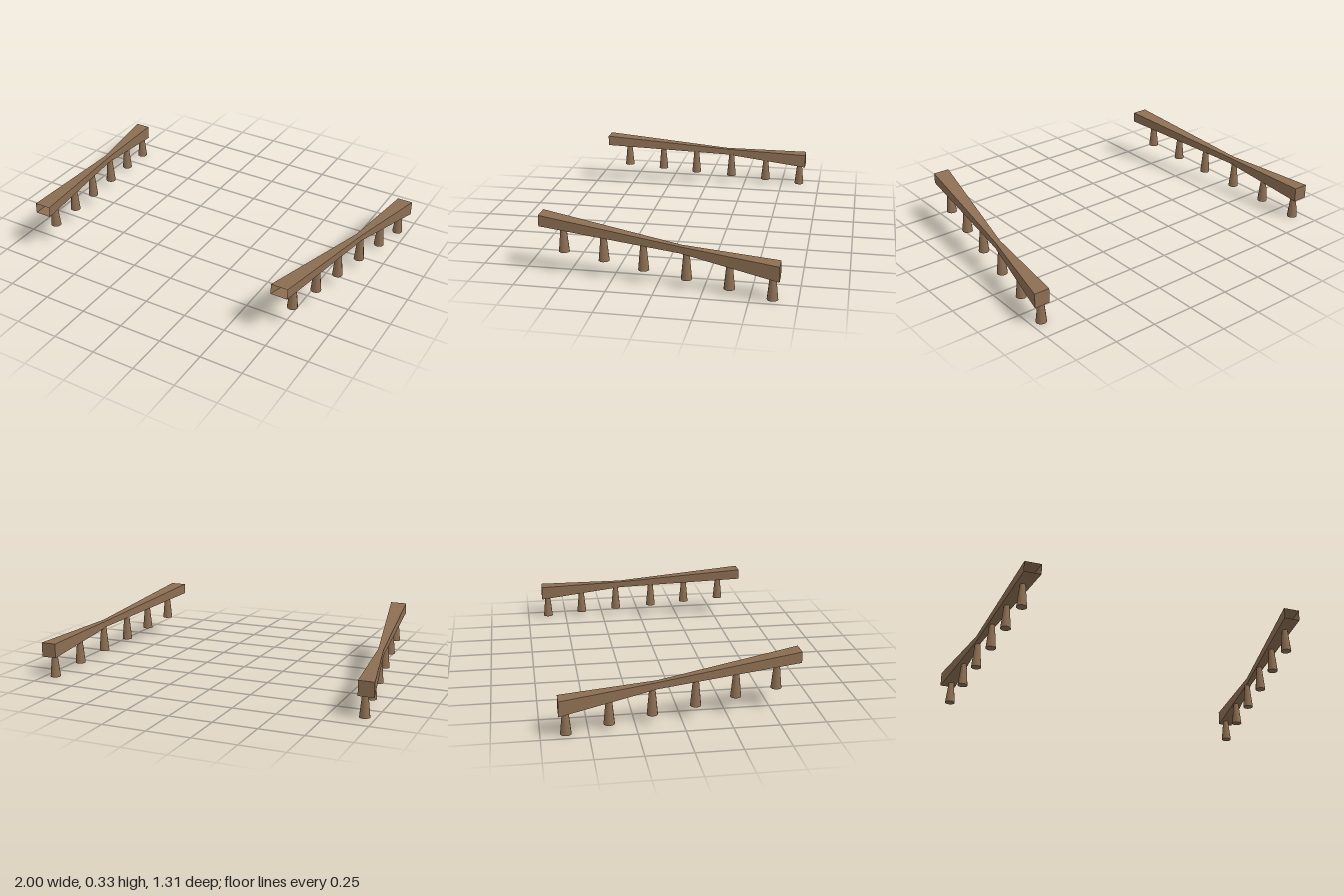
import * as THREE from 'three';

// rail sections from front to back: z, inner x, outer x, bottom y, top y
const SECTIONS = [
  [0.655, 0.722, 0.818, 0.268, 0.33],
  [-0.13, 0.866, 0.897, 0.2, 0.237],
  [-0.655, 0.91, 1.0, 0.122, 0.206],
];

// posts: z, foot y, top y
const POSTS = [
  [0.525, 0.123, 0.262],
  [0.297, 0.099, 0.242],
  [0.075, 0.074, 0.223],
  [-0.16, 0.052, 0.201],
  [-0.39, 0.028, 0.168],
  [-0.617, 0, 0.134],
];

// Pinched square tube, open at the front and closed at the back
function railGeometry(side) {
  const rings = SECTIONS.map(([z, xi, xo, y0, y1]) =>
    [[xi, y0], [xo, y0], [xo, y1], [xi, y1]].map(([x, y]) => [x * side, y, z]));
  const pos = [];
  const quad = (a, b, c, d) => {
    const q = side > 0 ? [a, b, c, a, c, d] : [a, c, b, a, d, c];
    q.forEach((p) => pos.push(...p));
  };
  for (let i = 0; i < rings.length - 1; i++) {
    for (let j = 0; j < 4; j++) {
      const k = (j + 1) % 4;
      quad(rings[i][j], rings[i + 1][j], rings[i + 1][k], rings[i][k]);
    }
  }
  const [a, b, c, d] = rings[rings.length - 1];
  quad(a, d, c, b);
  const geo = new THREE.BufferGeometry();
  geo.setAttribute('position', new THREE.Float32BufferAttribute(pos, 3));
  geo.computeVertexNormals();
  return geo;
}

export function createModel() {
  const wood = new THREE.MeshStandardMaterial({ color: 0x8c6e52, side: THREE.DoubleSide });
  wood.name = 'brown wood';
  const model = new THREE.Group();
  model.name = 'railPair';

  for (const side of [1, -1]) {
    const half = new THREE.Group();
    half.name = side > 0 ? 'leftRailing' : 'rightRailing';

    const rail = new THREE.Mesh(railGeometry(side), wood);
    rail.name = 'rail';
    half.add(rail);

    // Tapered posts stepping down and outward towards the back
    for (const [z, y0, y1] of POSTS) {
      const post = new THREE.Mesh(new THREE.CylinderGeometry(0.016, 0.03, y1 - y0, 12), wood);
      post.name = 'post';
      post.position.set(side * (0.859 - 0.131 * z), (y0 + y1) / 2, z);
      half.add(post);
    }
    model.add(half);
  }
  return model;
}
